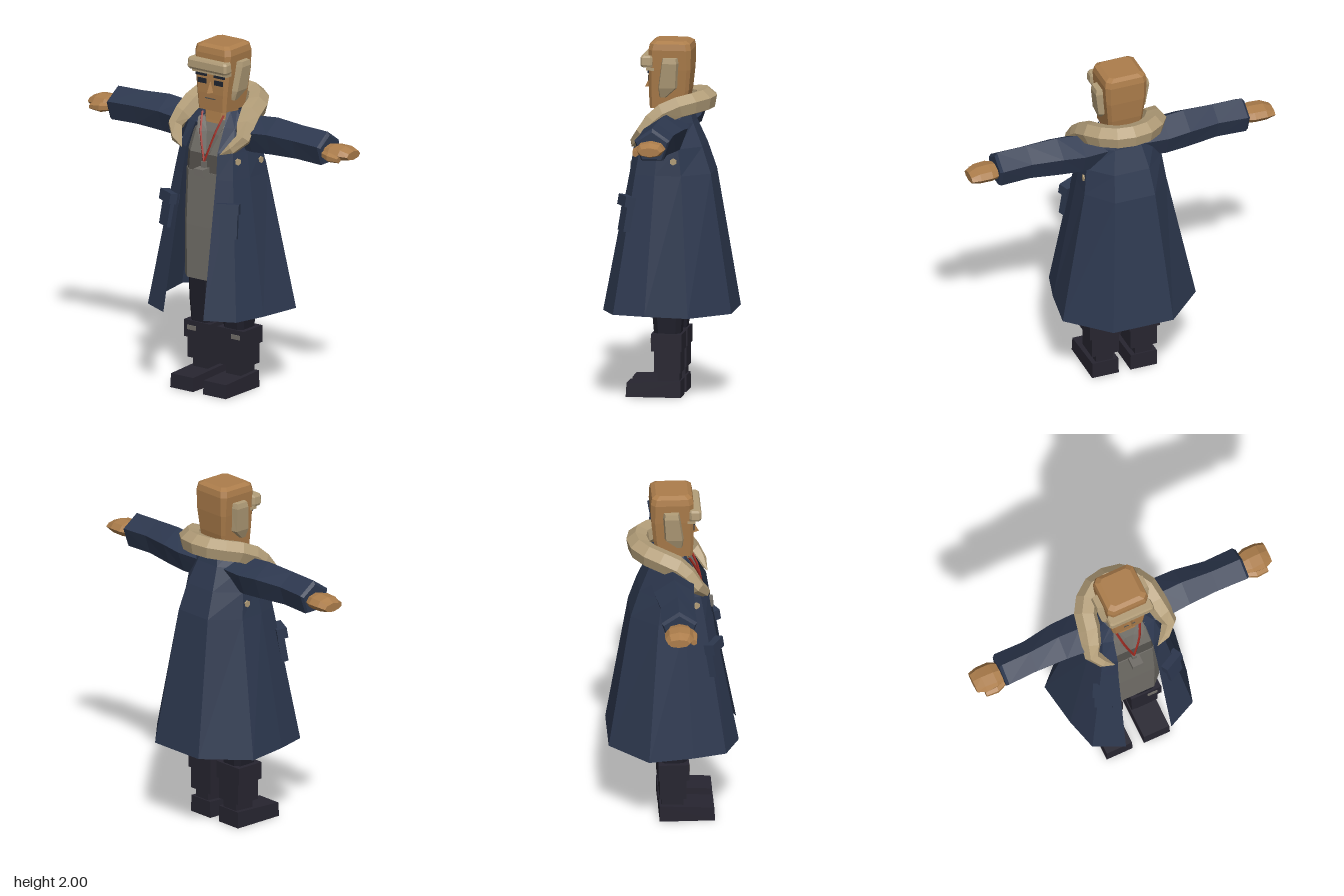
import * as THREE from 'three';

const mat = (name, color, side = THREE.FrontSide) => {
  const m = new THREE.MeshStandardMaterial({ color, side, flatShading: true });
  m.name = name;
  return m;
};

// Skin consecutive rings of [x, y, z] points with faces; optional caps at both ends
function loft(rings, closed = true, capped = true) {
  const out = [];
  const tri = (a, b, c) => out.push(...a, ...b, ...c);
  for (let k = 0; k + 1 < rings.length; k++) {
    const r = rings[k], s = rings[k + 1], n = r.length;
    for (let i = 0; i < (closed ? n : n - 1); i++) {
      const j = (i + 1) % n;
      tri(r[i], r[j], s[j]);
      tri(r[i], s[j], s[i]);
    }
  }
  if (capped) {
    const a = rings[0], b = rings[rings.length - 1];
    for (let i = 1; i + 1 < a.length; i++) {
      tri(a[0], a[i + 1], a[i]);
      tri(b[0], b[i], b[i + 1]);
    }
  }
  const g = new THREE.BufferGeometry();
  g.setAttribute('position', new THREE.Float32BufferAttribute(out, 3));
  g.computeVertexNormals();
  return g;
}

// Rectangle ring with cut corners: half width, front z, back z, corner cut
const ring = (y, w, f, b, c, x = 0) => [
  [-w + c, f], [w - c, f], [w, f - c], [w, b + c], [w - c, b], [-w + c, b], [-w, b + c], [-w, f - c],
].map(([px, z]) => [px + x, y, z]);

// Oval ring around the x axis for sleeves and hands
const armRing = (x, y, z, ry, rz, n) => Array.from({ length: n }, (_, i) => {
  const t = (i / n) * Math.PI * 2;
  return [x, y + ry * Math.cos(t), z + rz * Math.sin(t)];
});

const box = (x0, x1, y0, y1, z0, z1) =>
  new THREE.BoxGeometry(x1 - x0, y1 - y0, z1 - z0).translate((x0 + x1) / 2, (y0 + y1) / 2, (z0 + z1) / 2);

// Mirror across x and restore the corner order
function mirrored(geo) {
  const g = geo.index ? geo.toNonIndexed() : geo.clone();
  const p = g.attributes.position;
  const a = new THREE.Vector3(), b = new THREE.Vector3();
  for (let i = 0; i < p.count; i += 3) {
    a.fromBufferAttribute(p, i + 1);
    b.fromBufferAttribute(p, i + 2);
    p.setXYZ(i, -p.getX(i), p.getY(i), p.getZ(i));
    p.setXYZ(i + 1, -b.x, b.y, b.z);
    p.setXYZ(i + 2, -a.x, a.y, a.z);
  }
  g.computeVertexNormals();
  return g;
}

export function createModel() {
  const model = new THREE.Group();
  model.name = 'figure';
  const skin = mat('skin', 0xac7d4b);
  const fur = mat('fur', 0xb39e79);
  const navy = mat('coat navy', 0x2d384f, THREE.DoubleSide);
  const grey = mat('shirt grey', 0x716e68);
  const darkGrey = mat('chest grey', 0x55524d);
  const trousers = mat('trouser black', 0x1f1f2a);
  const leather = mat('boot black', 0x272530);
  const red = mat('cord red', 0x9c2b22);
  const eyeDark = mat('eye dark', 0x1d2430);

  const add = (name, geo, material) => {
    const m = new THREE.Mesh(geo, material);
    m.name = name;
    model.add(m);
    return m;
  };
  const pair = (name, geo, material) => {
    add(name + 'Left', geo, material);
    add(name + 'Right', mirrored(geo), material);
  };

  // Head, neck and face
  add('head', loft([
    ring(1.62, 0.095, 0.11, -0.09, 0.015),
    ring(1.72, 0.105, 0.115, -0.11, 0.018),
    ring(1.84, 0.118, 0.115, -0.122, 0.02),
    ring(1.95, 0.125, 0.115, -0.125, 0.025),
    ring(1.985, 0.118, 0.108, -0.118, 0.025),
    ring(2.0, 0.092, 0.085, -0.095, 0.02),
  ]), skin);
  add('neck', loft([ring(1.5, 0.05, 0.1, -0.06, 0.02), ring(1.56, 0.07, 0.09, -0.07, 0.02),
    ring(1.66, 0.075, 0.08, -0.07, 0.02)]), skin);
  add('nose', new THREE.ConeGeometry(0.033, 0.065, 3).translate(0, 1.76, 0.116), skin);
  add('mouth', box(-0.035, 0.035, 1.688, 1.694, 0.112, 0.118), darkGrey);
  pair('brow', box(0.025, 0.1, 1.818, 1.833, 0.113, 0.121), eyeDark);
  pair('eye', box(0.028, 0.088, 1.775, 1.803, 0.112, 0.12), eyeDark);

  // Headband, brim and ear flaps
  add('headband', loft([ring(1.855, 0.132, 0.15, 0.09, 0.012), ring(1.868, 0.137, 0.157, 0.09, 0.012),
    ring(1.908, 0.135, 0.157, 0.09, 0.012), ring(1.92, 0.128, 0.15, 0.09, 0.012)]), fur);
  add('brim', box(-0.122, 0.122, 1.835, 1.85, 0.08, 0.125), fur);
  const flap = (x0, x1, y, f, b) => [[x0, y, f], [x1, y, f - 0.01], [x1, y, b + 0.01], [x0, y, b]];
  pair('earFlap', loft([
    flap(0.095, 0.118, 1.685, 0.055, 0.01),
    flap(0.1, 0.14, 1.74, 0.06, -0.05),
    flap(0.11, 0.16, 1.88, 0.04, -0.06),
    flap(0.11, 0.155, 1.91, 0.035, -0.055),
  ]), fur);

  // Fur collar: a tube around the neck, squeezed at both ends
  const half = [[0.13, 1.405, 0.205], [0.235, 1.49, 0.135], [0.205, 1.59, 0.04],
    [0.19, 1.64, -0.06], [0.11, 1.66, -0.165]];
  const path = new THREE.CatmullRomCurve3([
    ...half, [0, 1.665, -0.195], ...half.slice().reverse().map(([x, y, z]) => [-x, y, z]),
  ].map((p) => new THREE.Vector3(...p)));
  const steps = 16, sides = 6;
  const collar = new THREE.TubeGeometry(path, steps, 0.066, sides, false);
  const cp = collar.attributes.position, v = new THREE.Vector3();
  for (let i = 0; i < cp.count; i++) {
    const k = Math.floor(i / (sides + 1)), end = Math.min(k, steps - k);
    const s = [0, 0.5, 0.68, 0.9][end] ?? 1;
    const c = path.getPointAt(k / steps);
    v.fromBufferAttribute(cp, i).sub(c).multiplyScalar(s).add(c);
    cp.setXYZ(i, v.x, v.y, v.z);
  }
  collar.computeVertexNormals();
  add('furCollar', collar, fur);

  // Long coat, open at the front: half outlines from front edge to back
  const coatHalf = [
    [0.48, [0.14, 0.365], [0.31, 0.285], [0.36, 0.1], [0.4, -0.15], [0.18, -0.365]],
    [1.26, [0.118, 0.218], [0.205, 0.175], [0.235, 0.06], [0.245, -0.09], [0.12, -0.24]],
    [1.41, [0.11, 0.195], [0.185, 0.15], [0.21, 0.05], [0.225, -0.07], [0.105, -0.19]],
    [1.54, [0.1, 0.12], [0.16, 0.1], [0.195, 0.04], [0.195, -0.05], [0.08, -0.135]],
    [1.62, [0.08, 0.07], [0.1, 0.06], [0.115, 0.02], [0.11, -0.04], [0.06, -0.11]],
  ];
  add('coat', loft(coatHalf.map(([y, ...pts]) => [
    ...pts.map(([x, z]) => [x, y, z]),
    ...pts.slice().reverse().map(([x, z]) => [-x, y, z]),
  ]), false, false), navy);

  // Coat pockets with flaps, and buttons
  const onPanel = (g, x, y, z) => g.rotateX(-0.17).rotateY(0.47).translate(x, y, z);
  pair('pocket', onPanel(new THREE.BoxGeometry(0.1, 0.19, 0.04), 0.212, 1.035, 0.222), navy);
  pair('pocketFlap', onPanel(new THREE.BoxGeometry(0.13, 0.06, 0.06), 0.206, 1.11, 0.222), navy);
  const button = (x, y, z, yaw) =>
    new THREE.CylinderGeometry(0.02, 0.02, 0.012, 6).rotateX(Math.PI / 2).rotateY(yaw).translate(x, y, z);
  pair('frontButton', button(0.2, 1.36, 0.125, 1.2), fur);
  pair('sideButton', button(0.232, 1.34, -0.045, 1.5), fur);

  // Sleeves and hands
  pair('sleeve', loft([
    armRing(0.1, 1.5, -0.01, 0.1, 0.11, 5),
    armRing(0.25, 1.5, -0.01, 0.108, 0.125, 5),
    armRing(0.38, 1.51, -0.01, 0.11, 0.118, 5),
    armRing(0.56, 1.51, 0, 0.1, 0.1, 5),
    armRing(0.735, 1.505, 0, 0.1, 0.105, 5),
    armRing(0.75, 1.5, 0, 0.085, 0.092, 5),
  ]), navy);
  pair('hand', loft([
    armRing(0.73, 1.495, 0, 0.038, 0.06, 8),
    armRing(0.79, 1.5, -0.002, 0.044, 0.083, 8),
    armRing(0.86, 1.5, -0.005, 0.042, 0.08, 8),
    armRing(0.91, 1.495, -0.01, 0.025, 0.062, 8),
  ]), skin);
  pair('thumb', loft([
    armRing(0.75, 1.49, 0.06, 0.02, 0.02, 6),
    armRing(0.8, 1.485, 0.075, 0.028, 0.025, 6),
    armRing(0.87, 1.48, 0.075, 0.018, 0.018, 6),
  ]), skin);

  // Shirt: long lower part, dark chest band and upper part
  add('shirtLower', loft([ring(0.64, 0.19, 0.16, -0.13, 0.06), ring(0.95, 0.18, 0.165, -0.14, 0.05),
    ring(1.27, 0.17, 0.16, -0.13, 0.05)]), grey);
  add('shirtBand', loft([ring(1.27, 0.17, 0.155, -0.13, 0.05), ring(1.375, 0.165, 0.15, -0.12, 0.05)]), darkGrey);
  add('shirtUpper', loft([ring(1.375, 0.165, 0.15, -0.12, 0.05), ring(1.5, 0.14, 0.115, -0.1, 0.04),
    ring(1.57, 0.09, 0.08, -0.08, 0.03)]), grey);
  pair('shirtLapel', loft([
    [[0.005, 1.38, 0.15], [0.02, 1.38, 0.155], [0.02, 1.38, 0.13]],
    [[0.025, 1.5, 0.115], [0.075, 1.49, 0.135], [0.06, 1.5, 0.1]],
    [[0.06, 1.57, 0.085], [0.1, 1.57, 0.1], [0.08, 1.57, 0.06]],
  ]), grey);

  // Whistle on a red cord
  const cord = new THREE.CatmullRomCurve3([
    new THREE.Vector3(0.075, 1.6, 0.09), new THREE.Vector3(0.05, 1.5, 0.14), new THREE.Vector3(0, 1.335, 0.175)]);
  pair('cord', new THREE.TubeGeometry(cord, 5, 0.007, 4), red);
  add('whistle', box(-0.032, 0.032, 1.265, 1.305, 0.165, 0.228), grey);
  add('whistleRing', box(-0.014, 0.014, 1.24, 1.34, 0.165, 0.185), grey);

  // Trousers and boots
  pair('trouserLeg', loft([
    ring(0.3, 0.065, 0.07, -0.07, 0.025, 0.115),
    ring(0.48, 0.08, 0.085, -0.085, 0.03, 0.112),
    ring(0.85, 0.095, 0.11, -0.11, 0.035, 0.1),
  ]), trousers);
  pair('bootFoot', loft([
    [[0.035, 0, 0.23], [0.195, 0, 0.23], [0.195, 0, -0.08], [0.035, 0, -0.08]],
    [[0.037, 0.08, 0.225], [0.193, 0.08, 0.225], [0.193, 0.095, -0.08], [0.037, 0.095, -0.08]],
  ]), leather);
  pair('bootAnkle', box(0.065, 0.167, 0.08, 0.145, -0.07, 0.055), leather);
  pair('bootShaft', box(0.035, 0.195, 0.14, 0.27, -0.08, 0.07), leather);
  pair('bootCuff', box(0.025, 0.21, 0.262, 0.36, -0.087, 0.085), leather);
  pair('bootTag', box(0.125, 0.185, 0.307, 0.333, 0.083, 0.09), grey);

  return model;
}
